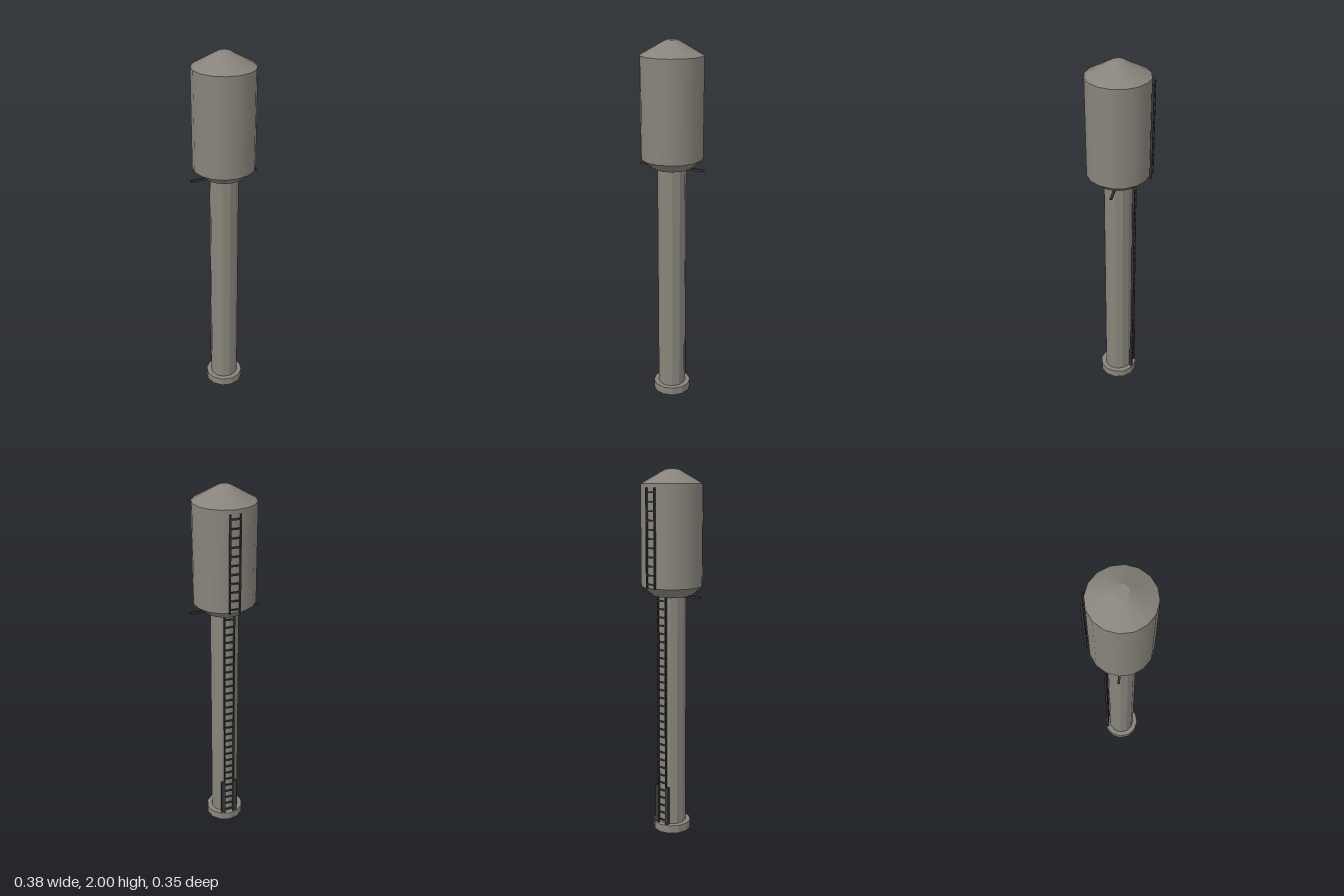
import * as THREE from 'three';

export function createModel() {
  const model = new THREE.Group();
  model.name = 'waterTower';

  const concrete = new THREE.MeshStandardMaterial({ name: 'warm grey concrete', color: 0x88847b, side: THREE.DoubleSide });
  const iron = new THREE.MeshStandardMaterial({ name: 'dark iron', color: 0x373737 });

  const axisZ = 0.007; // the tower sits slightly forward of its ladders

  function add(parent, name, geometry, material, x, y, z) {
    const mesh = new THREE.Mesh(geometry, material);
    mesh.name = name;
    mesh.position.set(x, y, z);
    parent.add(mesh);
    return mesh;
  }

  // Ring of wall between two heights, open at both ends
  function wall(name, rBottom, rTop, y0, y1, sides, faceted = false) {
    let geometry = new THREE.CylinderGeometry(rTop, rBottom, y1 - y0, sides, 1, true);
    if (faceted) {
      geometry = geometry.toNonIndexed();
      geometry.computeVertexNormals();
    }
    return add(model, name, geometry, concrete, 0, (y0 + y1) / 2, axisZ);
  }

  function disc(name, radius, y, sides) {
    const geometry = new THREE.CircleGeometry(radius, sides);
    geometry.rotateX(-Math.PI / 2);
    return add(model, name, geometry, concrete, 0, y, axisZ);
  }

  function box(parent, name, w, h, d, x, y, z) {
    return add(parent, name, new THREE.BoxGeometry(w, h, d), iron, x, y, z);
  }

  // Foot: hollow underneath, closed on top
  wall('footWall', 0.105, 0.105, 0, 0.045, 12, true);
  disc('footTop', 0.105, 0.045, 12);

  // Column
  wall('column', 0.077, 0.077, 0.045, 1.345, 12, true);

  // Tank: lower cone, drum, roof and flat cap
  wall('tankLowerCone', 0.105, 0.166, 1.34, 1.39, 16);
  wall('tankDrum', 0.166, 0.166, 1.39, 1.925, 16);
  wall('tankRoof', 0.166, 0.034, 1.925, 2, 16);
  disc('roofCap', 0.034, 2, 16);

  // Cross beam sticking out under the tank
  box(model, 'crossBeam', 0.376, 0.011, 0.012, 0, 1.342, axisZ - 0.001);

  // Ladder: two rails and evenly spaced rungs
  function ladder(name, y0, y1, z) {
    const group = new THREE.Group();
    group.name = name;
    const height = y1 - y0;
    for (const side of [-1, 1]) {
      box(group, side > 0 ? 'leftRail' : 'rightRail', 0.007, height, 0.011, side * 0.0265, (y0 + y1) / 2, z);
    }
    const count = Math.round(height / 0.045);
    for (let i = 0; i < count; i++) {
      box(group, 'rung', 0.048, 0.008, 0.007, 0, y0 + ((i + 0.5) * height) / count, z);
    }
    model.add(group);
  }
  ladder('columnLadder', 0.045, 1.34, -0.08);
  ladder('tankLadder', 1.39, 1.905, -0.168);

  // Guard plates on both sides of the ladder foot
  for (const side of [-1, 1]) {
    box(model, side > 0 ? 'leftGuard' : 'rightGuard', 0.017, 0.22, 0.013, side * 0.0375, 0.16, -0.079);
  }

  return model;
}
